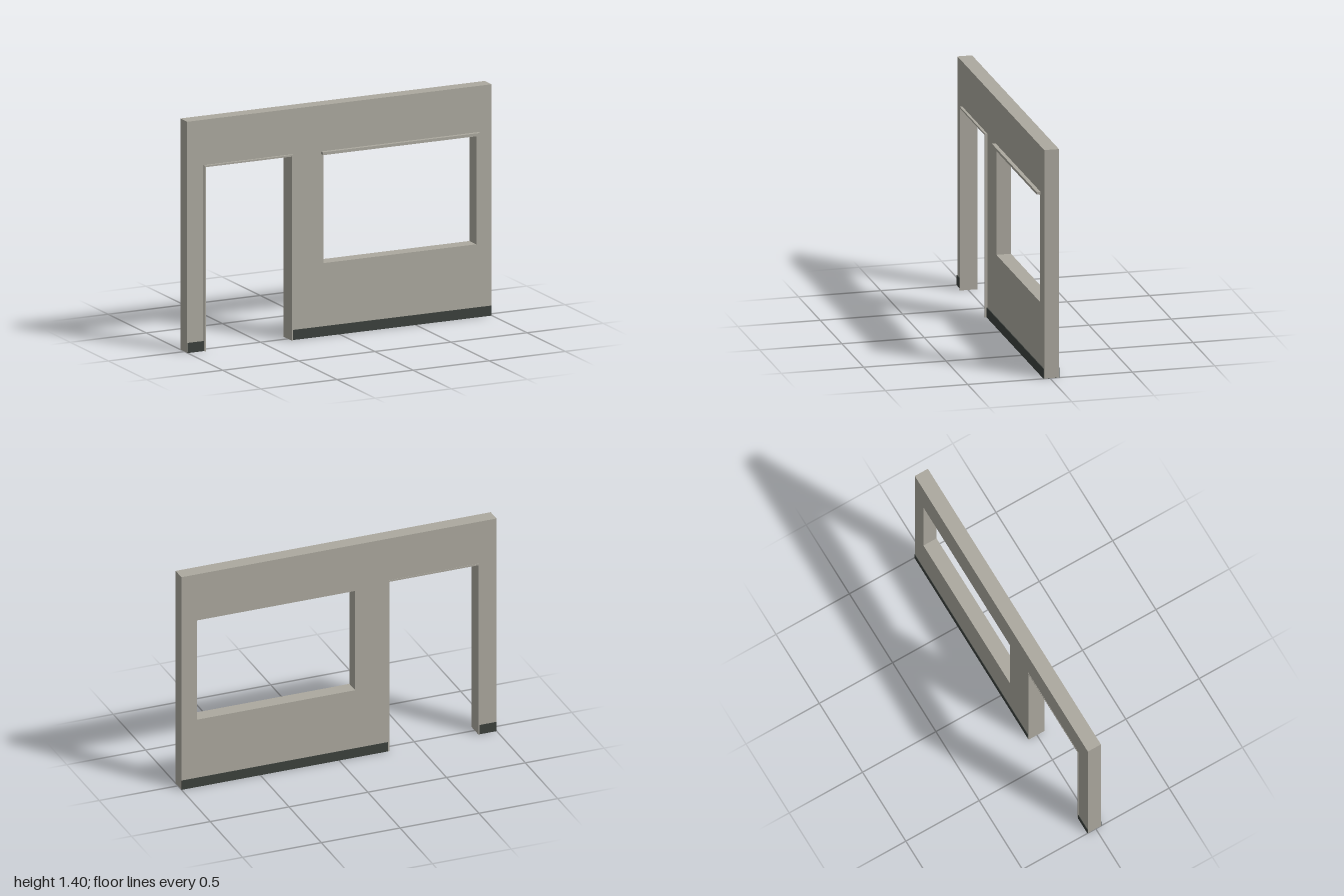
import * as THREE from 'three';

const concrete = new THREE.MeshStandardMaterial({ color: 0xaca99f });
concrete.name = 'warm grey wall';
const dark = new THREE.MeshStandardMaterial({ color: 0x3c413d });
dark.name = 'dark grey skirting';

export function createModel() {
  const group = new THREE.Group();
  group.name = 'wallWithDoorAndWindow';

  // Box given by its limits on each axis
  const box = (name, material, [x0, x1], [y0, y1], [z0, z1]) => {
    const mesh = new THREE.Mesh(new THREE.BoxGeometry(x1 - x0, y1 - y0, z1 - z0), material);
    mesh.position.set((x0 + x1) / 2, (y0 + y1) / 2, (z0 + z1) / 2);
    mesh.name = name;
    group.add(mesh);
  };

  // Wall panels around the door and window openings
  const wallZ = [-0.054, 0.035];
  const foot = 0.001;
  box('rightPier', concrete, [-1, -0.89], [foot, 1.4], wallZ);
  box('doorLintel', concrete, [-0.89, -0.31], [1.125, 1.4], wallZ);
  box('middlePier', concrete, [-0.31, -0.103], [foot, 1.4], wallZ);
  box('windowLintel', concrete, [-0.103, 0.9], [1.096, 1.4], wallZ);
  box('windowApron', concrete, [-0.103, 0.9], [foot, 0.442], wallZ);
  box('leftPier', concrete, [0.9, 1], [foot, 1.4], wallZ);

  // Skirting standing slightly proud of both faces
  const skirtZ = [-0.057, 0.04];
  box('shortSkirting', dark, [-0.999, -0.89], [0, 0.06], skirtZ);
  box('longSkirting', dark, [-0.31, 0.999], [0, 0.06], skirtZ);

  // Thin door lining, projecting at the front
  const liningZ = [-0.056, 0.05];
  box('doorLiningRight', concrete, [-0.892, -0.884], [0, 1.125], liningZ);
  box('doorLiningLeft', concrete, [-0.32, -0.312], [0, 1.125], liningZ);
  box('doorLiningTop', concrete, [-0.892, -0.312], [1.115, 1.125], liningZ);

  // Drip rail above the window
  box('windowRail', concrete, [-0.12, 0.915], [1.104, 1.12], [0.03, 0.058]);

  return group;
}
